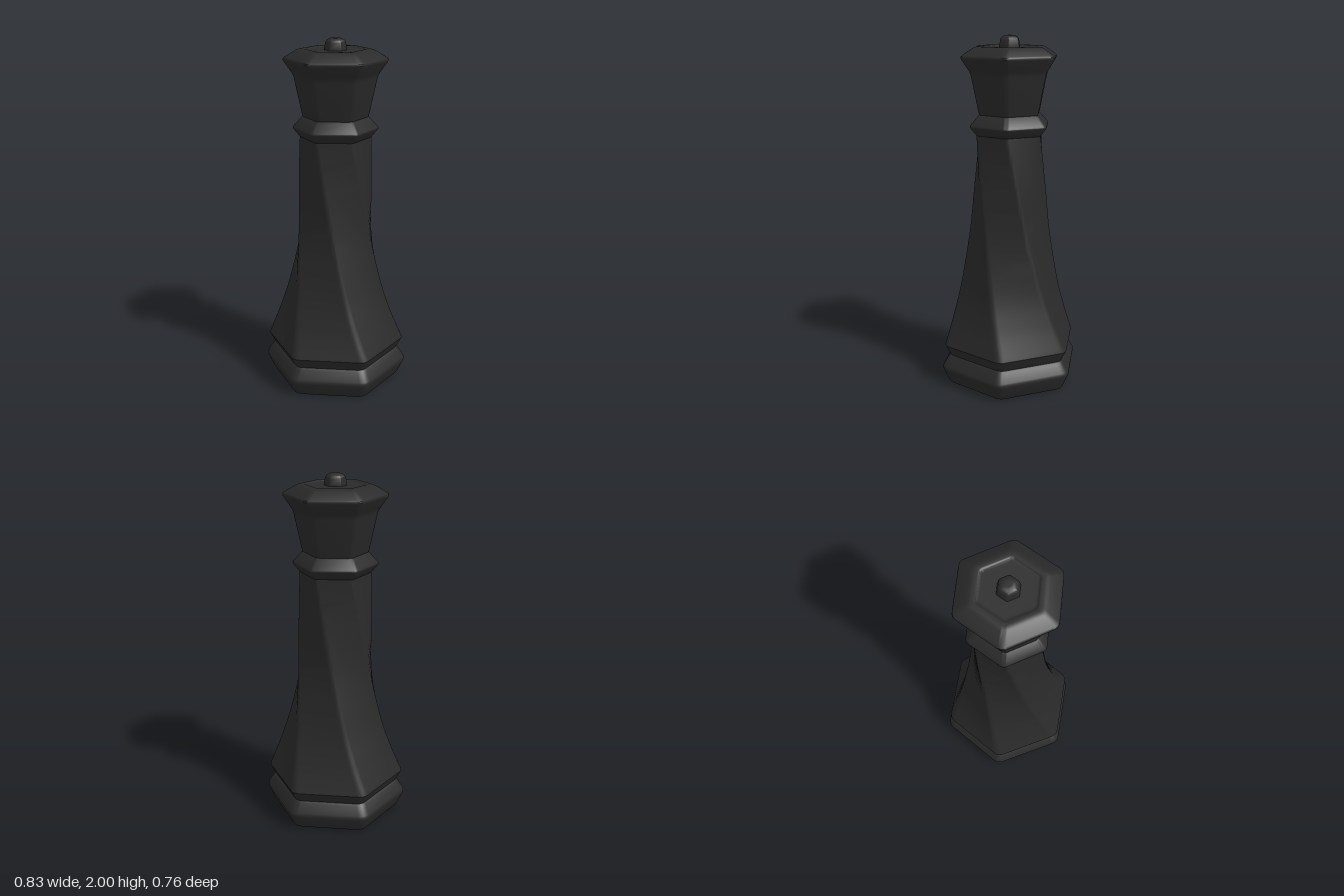
import * as THREE from 'three';
import { toCreasedNormals } from 'three/addons/utils/BufferGeometryUtils.js';

const ARC = 4; // segments on each rounded corner

// Hexagon ring with rounded corners; radius is measured to the rounded corner.
function hexRing(radius, y, degrees) {
  const fillet = radius * 0.15;
  const centre = radius - fillet;
  const ring = [];
  for (let k = 0; k < 6; k++) {
    const a = THREE.MathUtils.degToRad(degrees + k * 60);
    for (let i = 0; i <= ARC; i++) {
      const b = a + (i / ARC - 0.5) * (Math.PI / 3);
      ring.push(new THREE.Vector3(
        centre * Math.cos(a) + fillet * Math.cos(b), y,
        centre * Math.sin(a) + fillet * Math.sin(b)));
    }
  }
  return ring;
}

// Skin over sections of [radius, y, degrees]; radius 0 closes an end.
function loft(sections) {
  const n = 6 * (ARC + 1);
  const positions = [], index = [];
  sections.forEach(([r, y, deg = 0]) =>
    hexRing(r, y, deg).forEach((p) => positions.push(p.x, p.y, p.z)));
  for (let s = 0; s < sections.length - 1; s++) {
    for (let j = 0; j < n; j++) {
      const a = s * n + j, b = s * n + (j + 1) % n;
      if (sections[s][0] > 0) index.push(a, a + n, b);
      if (sections[s + 1][0] > 0) index.push(b, a + n, b + n);
    }
  }
  const geometry = new THREE.BufferGeometry();
  geometry.setAttribute('position', new THREE.Float32BufferAttribute(positions, 3));
  geometry.setIndex(index);
  return toCreasedNormals(geometry, 0.6);
}

// Small rounding on every inner point of a profile.
function soften(profile, amount, degrees = 0) {
  const pts = profile.map(([r, y]) => new THREE.Vector2(r, y));
  const out = [pts[0]];
  for (let i = 1; i < pts.length - 1; i++) {
    const p = pts[i];
    const toward = (q) => p.clone().lerp(q, Math.min(0.4, amount / p.distanceTo(q)));
    const curve = new THREE.QuadraticBezierCurve(toward(pts[i - 1]), p, toward(pts[i + 1]));
    out.push(...curve.getPoints(3));
  }
  out.push(pts[pts.length - 1]);
  return out.map((p) => [p.x, p.y, degrees]);
}

export function createModel() {
  const model = new THREE.Group();
  model.name = 'chessQueen';
  const black = new THREE.MeshStandardMaterial({ color: 0x2a2a2a });
  black.name = 'matte black';
  const add = (name, sections) => {
    const mesh = new THREE.Mesh(loft(sections), black);
    mesh.name = name;
    model.add(mesh);
  };
  const baseTurn = 3.4;

  // Foot
  add('foot', soften([[0, 0], [0.375, 0], [0.42, 0.1], [0.37, 0.175], [0, 0.175]], 0.016, baseTurn));

  // Twisted column, flaring towards the foot
  const curve = new THREE.SplineCurve([
    [0.4, 0.235], [0.338, 0.4], [0.281, 0.6], [0.231, 0.9], [0.211, 1.2], [0.2, 1.46],
  ].map(([r, y]) => new THREE.Vector2(r, y)));
  const column = [[0, 0.17, baseTurn], [0.365, 0.17, baseTurn], [0.394, 0.222, baseTurn]];
  for (let i = 0; i <= 40; i++) {
    const p = curve.getPoint(i / 40);
    const t = (p.y - 0.235) / (1.46 - 0.235);
    column.push([p.x, p.y, baseTurn + (60 - baseTurn) * (0.8 * t + 0.2 * t * t)]);
  }
  column.push([0, 1.46, 60]);
  add('twistedColumn', column);

  // Collar
  add('collar', soften([[0, 1.45], [0.195, 1.45], [0.242, 1.508], [0.185, 1.572], [0, 1.572]], 0.009));

  // Flared head with a shallow inset top
  add('head', soften([
    [0, 1.56], [0.182, 1.56], [0.233, 1.8], [0.295, 1.888], [0.205, 1.941],
    [0.167, 1.941], [0.163, 1.935], [0, 1.935],
  ], 0.018));

  // Finial
  add('finial', soften([[0, 1.93], [0.065, 1.93], [0.054, 1.985], [0.03, 2], [0, 2]], 0.01));

  return model;
}
